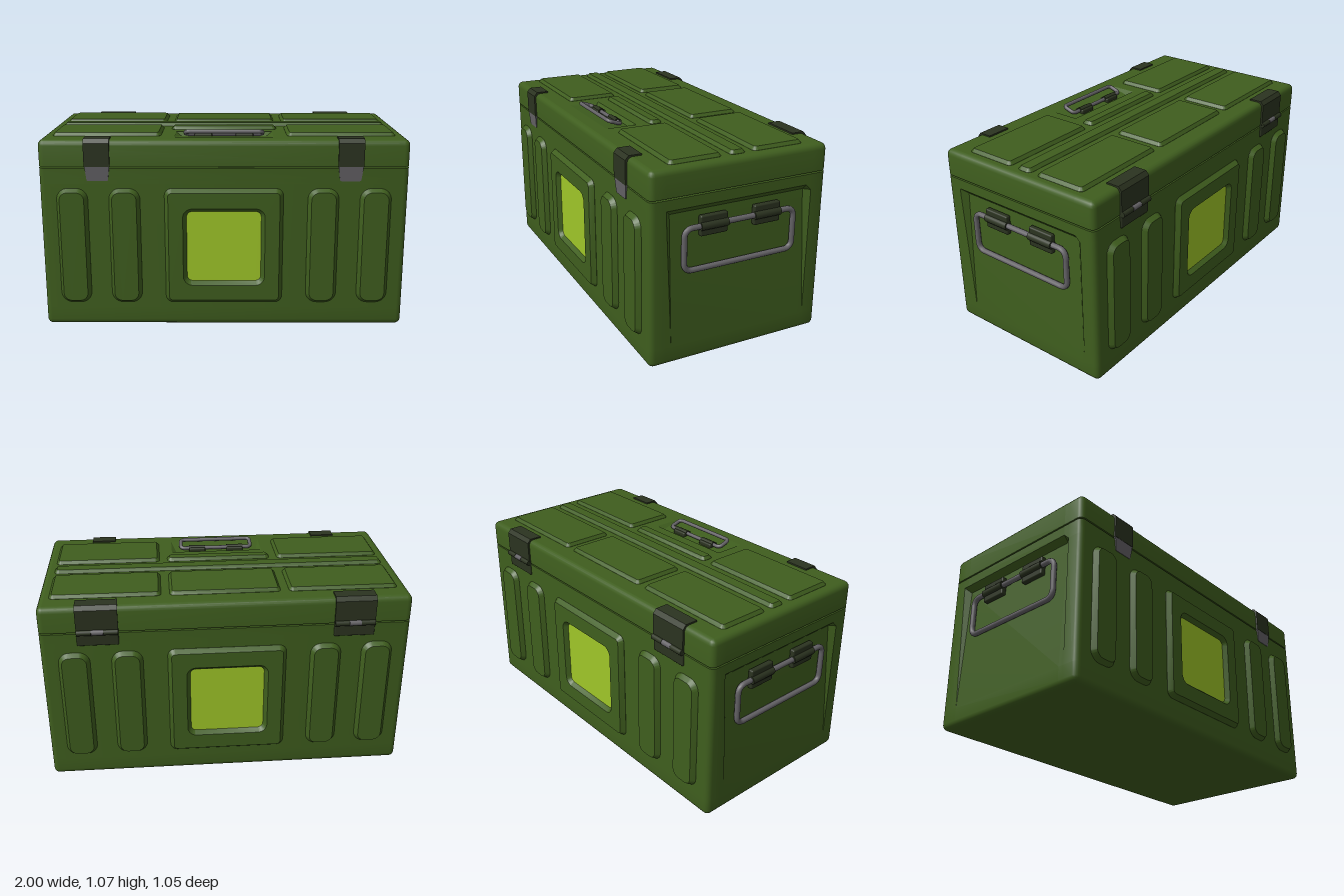
import * as THREE from 'three';
import { mergeGeometries, toCreasedNormals } from 'three/addons/utils/BufferGeometryUtils.js';
import { RoundedBoxGeometry } from 'three/addons/geometries/RoundedBoxGeometry.js';

const material = (color) => new THREE.MeshStandardMaterial({ color });
const green = material(0x3f5e1e);
const dark = material(0x2b3320);
const steel = material(0x646266);
const lime = material(0x9fc628);

const HX = 0.98, HZ = 0.497, R = 0.03, TOP = 1.034;

function add(parent, name, geometry, mat, x = 0, y = 0, z = 0) {
  const mesh = new THREE.Mesh(geometry, mat);
  mesh.name = name;
  mesh.position.set(x, y, z);
  parent.add(mesh);
  return mesh;
}

function group(parent, name, x = 0, y = 0, z = 0) {
  const g = new THREE.Group();
  g.name = name;
  g.position.set(x, y, z);
  parent.add(g);
  return g;
}

function roundedRect(w, h, r, Type = THREE.Shape) {
  const s = new Type(), a = w / 2 - r, b = h / 2 - r;
  s.absarc(a, b, r, 0, Math.PI / 2);
  s.absarc(-a, b, r, Math.PI / 2, Math.PI);
  s.absarc(-a, -b, r, Math.PI, Math.PI * 1.5);
  s.absarc(a, -b, r, Math.PI * 1.5, Math.PI * 2);
  s.closePath();
  return s;
}

// Raised plate with a sloped rim; its base lies on z = 0
function plate(w, h, r, height, bevel, hole) {
  const shape = roundedRect(w, h, r);
  if (hole) shape.holes.push(hole);
  const g = new THREE.ExtrudeGeometry(shape, {
    depth: 0.001, bevelThickness: height, bevelSize: bevel, bevelOffset: -bevel,
    bevelSegments: 1, curveSegments: 6,
  });
  return toCreasedNormals(g, 0.5);
}

// Horizontal outline of the case; each end wall may be pressed in by depth
function outline(inset, depth) {
  const pts = [], r = R - inset;
  const corner = (sx, sz, from) => {
    for (let i = 0; i <= 4; i++) {
      const a = from + (i / 4) * Math.PI / 2;
      pts.push([sx * (HX - R) + r * Math.cos(a), sz * (HZ - R) + r * Math.sin(a)]);
    }
  };
  const end = (s) => {
    const x = HX - inset;
    pts.push([s * x, -s * 0.41], [s * (x - depth), -s * 0.38], [s * (x - depth), s * 0.38], [s * x, s * 0.41]);
  };
  end(1);
  corner(1, 1, 0);
  corner(-1, 1, Math.PI / 2);
  end(-1);
  corner(-1, -1, Math.PI);
  corner(1, -1, Math.PI * 1.5);
  return pts;
}

// Skin through outlines; levels are [y, inset, depth]
function loft(levels, closeTop) {
  const rings = levels.map(([y, inset, depth]) => outline(inset, depth).map(([x, z]) => [x, y, z]));
  const n = rings[0].length, pos = [];
  const tri = (...p) => p.forEach((v) => pos.push(...v));
  for (let j = 0; j + 1 < rings.length; j++) {
    for (let i = 0; i < n; i++) {
      const k = (i + 1) % n, lo = rings[j], hi = rings[j + 1];
      tri(lo[i], hi[i], hi[k]);
      tri(lo[i], hi[k], lo[k]);
    }
  }
  const first = rings[0], last = rings[rings.length - 1];
  for (let i = 1; i + 1 < n; i++) {
    tri(first[0], first[i], first[i + 1]);
    if (closeTop) tri(last[0], last[i + 1], last[i]);
  }
  const g = new THREE.BufferGeometry();
  g.setAttribute('position', new THREE.Float32BufferAttribute(pos, 3));
  return toCreasedNormals(g, 0.6);
}

// Quarter-round edge levels, from the wall (t = 0) to the flat face (t = 1)
const edge = [0, 0.25, 0.5, 0.75, 1].map((t) => {
  const a = t * Math.PI / 2;
  return [R * Math.sin(a), R * (1 - Math.cos(a)) * 0.98];
});

// Lid top with a sloping finger pocket under the carrying handle
function lidTop() {
  const shape = new THREE.Shape(outline(edge[4][1], 0).map(([x, z]) => new THREE.Vector2(x, -z)));
  const hole = [[-0.265, -0.225], [0.265, -0.225], [0.265, -0.4], [-0.265, -0.4]];
  shape.holes.push(new THREE.Path(hole.map(([x, y]) => new THREE.Vector2(x, y))));
  const top = new THREE.ShapeGeometry(shape).rotateX(-Math.PI / 2).translate(0, TOP, 0).toNonIndexed();
  top.deleteAttribute('uv');
  const A = [-0.265, TOP, 0.225], B = [0.265, TOP, 0.225], C = [0.265, TOP, 0.4], D = [-0.265, TOP, 0.4];
  const E = [-0.235, TOP - 0.02, 0.25], F = [0.235, TOP - 0.02, 0.25];
  const pocket = new THREE.BufferGeometry();
  const faces = [A, E, F, A, F, B, A, D, E, B, F, C, E, D, C, E, C, F];
  pocket.setAttribute('position', new THREE.Float32BufferAttribute(faces.flat(), 3));
  pocket.computeVertexNormals();
  return mergeGeometries([top, pocket]);
}

// Wire bail hanging from two clips; the origin is the middle of the hinged wire
function handle(parent, name, { w, h, corner, wire, tilt, clipX, clipW, clipH }) {
  const g = group(parent, name);
  const pts = roundedRect(w, h, corner).getSpacedPoints(90).slice(0, -1);
  const path = new THREE.CatmullRomCurve3(pts.map((p) => new THREE.Vector3(p.x, p.y - h / 2, 0)), true);
  const bail = add(g, 'bail', new THREE.TubeGeometry(path, 140, wire, 10, true), steel);
  bail.rotation.x = -tilt;
  for (const s of [-1, 1]) {
    const clip = group(g, 'handleClip', s * clipX);
    add(clip, 'clipPlate', new RoundedBoxGeometry(clipW, clipH, 0.03, 2, 0.008), dark, 0, 0, -0.008);
    add(clip, 'clipSleeve', new THREE.CylinderGeometry(wire * 1.5, wire * 1.5, clipW, 16).rotateZ(Math.PI / 2), dark);
  }
  return g;
}

// Strap folded over the lid edge, extruded along x
function strap(width) {
  const profile = [[0.418, 1.042], [0.488, 1.042], [0.507, 1.02], [0.507, 0.893], [0.485, 0.893], [0.485, 1.025], [0.418, 1.025]];
  const shape = new THREE.Shape(profile.map(([z, y]) => new THREE.Vector2(z, y)));
  return new THREE.ExtrudeGeometry(shape, { depth: width, bevelEnabled: false })
    .rotateY(-Math.PI / 2).translate(width / 2, 0, 0);
}

export function createModel() {
  const model = new THREE.Group();
  model.name = 'storageCase';

  // Body: rounded base, end walls pressed in towards the top
  const base = [...edge].reverse().map(([dy, inset]) => [R - dy, inset, 0]);
  add(model, 'body', loft([...base, [0.1, 0, 0], [0.8, 0, 0.03], [0.83, 0, 0], [0.885, 0, 0]], true), green);

  // Lid
  const lid = group(model, 'lid');
  add(lid, 'lidShell', loft([[0.893, 0, 0], ...edge.map(([dy, inset]) => [TOP - R + dy, inset, 0])], false), green);
  add(lid, 'lidTop', lidTop(), green);

  // Raised panels on the lid: x, z, width, depth
  const lidPanels = [[0, -0.008, 1.85, 0.088], [0, 0.118, 0.59, 0.075], [0, -0.238, 0.59, 0.29]];
  for (const s of [-1, 1]) lidPanels.push([s * 0.632, -0.238, 0.585, 0.29], [s * 0.632, 0.226, 0.585, 0.29]);
  for (const [x, z, w, d] of lidPanels) {
    add(lid, 'lidPanel', plate(w, d, 0.025, 0.017, 0.014).rotateX(-Math.PI / 2), green, x, TOP, z);
  }

  // Front and back walls
  for (const [side, angle] of [['front', 0], ['back', Math.PI]]) {
    const wall = group(model, side + 'Wall');
    wall.rotation.y = angle;
    const window = roundedRect(0.4, 0.39, 0.03, THREE.Path);
    add(wall, 'framePanel', plate(0.635, 0.642, 0.04, 0.026, 0.02, window), green, 0, 0.454, HZ);
    add(wall, 'colourSquare', new THREE.ShapeGeometry(roundedRect(0.4, 0.39, 0.03), 6), lime, 0, 0.454, HZ + 0.004);
    for (const x of [-0.808, -0.53, 0.53, 0.808]) {
      add(wall, 'ribPanel', plate(0.166, 0.642, 0.06, 0.026, 0.018), green, x, 0.454, HZ);
    }
  }

  // Front latches: dark strap with a tapered steel clasp
  const claspShape = new THREE.Shape();
  claspShape.moveTo(-0.066, 0.08).lineTo(-0.057, 0.01).quadraticCurveTo(-0.056, 0, -0.046, 0);
  claspShape.lineTo(0.046, 0).quadraticCurveTo(0.056, 0, 0.057, 0.01).lineTo(0.066, 0.08).closePath();
  for (const s of [-1, 1]) {
    const latch = group(model, 'latch', s * 0.67);
    add(latch, 'latchStrap', strap(0.136), dark);
    const claspGeo = new THREE.ExtrudeGeometry(claspShape, { depth: 0.012, bevelEnabled: false });
    add(latch, 'latchClasp', claspGeo, steel, 0, 0.816, 0.488).rotation.x = 0.07;
  }

  // Back hinges: strap, lower leaf and knuckles
  for (const s of [-1, 1]) {
    const hinge = group(model, 'hinge', s * 0.676);
    hinge.rotation.y = Math.PI;
    add(hinge, 'hingeStrap', strap(0.218), dark);
    add(hinge, 'hingeLeaf', new RoundedBoxGeometry(0.218, 0.085, 0.02, 2, 0.008), dark, 0, 0.86, 0.496);
    for (const [x, w, mat] of [[-0.07, 0.075, dark], [0, 0.062, steel], [0.07, 0.075, dark]]) {
      add(hinge, 'knuckle', new THREE.CylinderGeometry(0.015, 0.015, w, 14).rotateZ(Math.PI / 2), mat, x, 0.895, 0.508);
    }
  }

  // Carrying handles at both ends and on the lid
  for (const s of [-1, 1]) {
    const end = handle(model, s > 0 ? 'leftHandle' : 'rightHandle', {
      w: 0.623, h: 0.222, corner: 0.04, wire: 0.015, tilt: 0, clipX: 0.151, clipW: 0.151, clipH: 0.106,
    });
    end.position.set(s * 0.977, 0.72, 0);
    end.rotation.y = s * Math.PI / 2;
  }
  const topHandle = handle(lid, 'lidHandle', {
    w: 0.416, h: 0.076, corner: 0.02, wire: 0.011, tilt: 0.33, clipX: 0.112, clipW: 0.096, clipH: 0.056,
  });
  topHandle.position.set(0, 1.032, 0.288);
  topHandle.rotation.x = -Math.PI / 2;

  return model;
}
